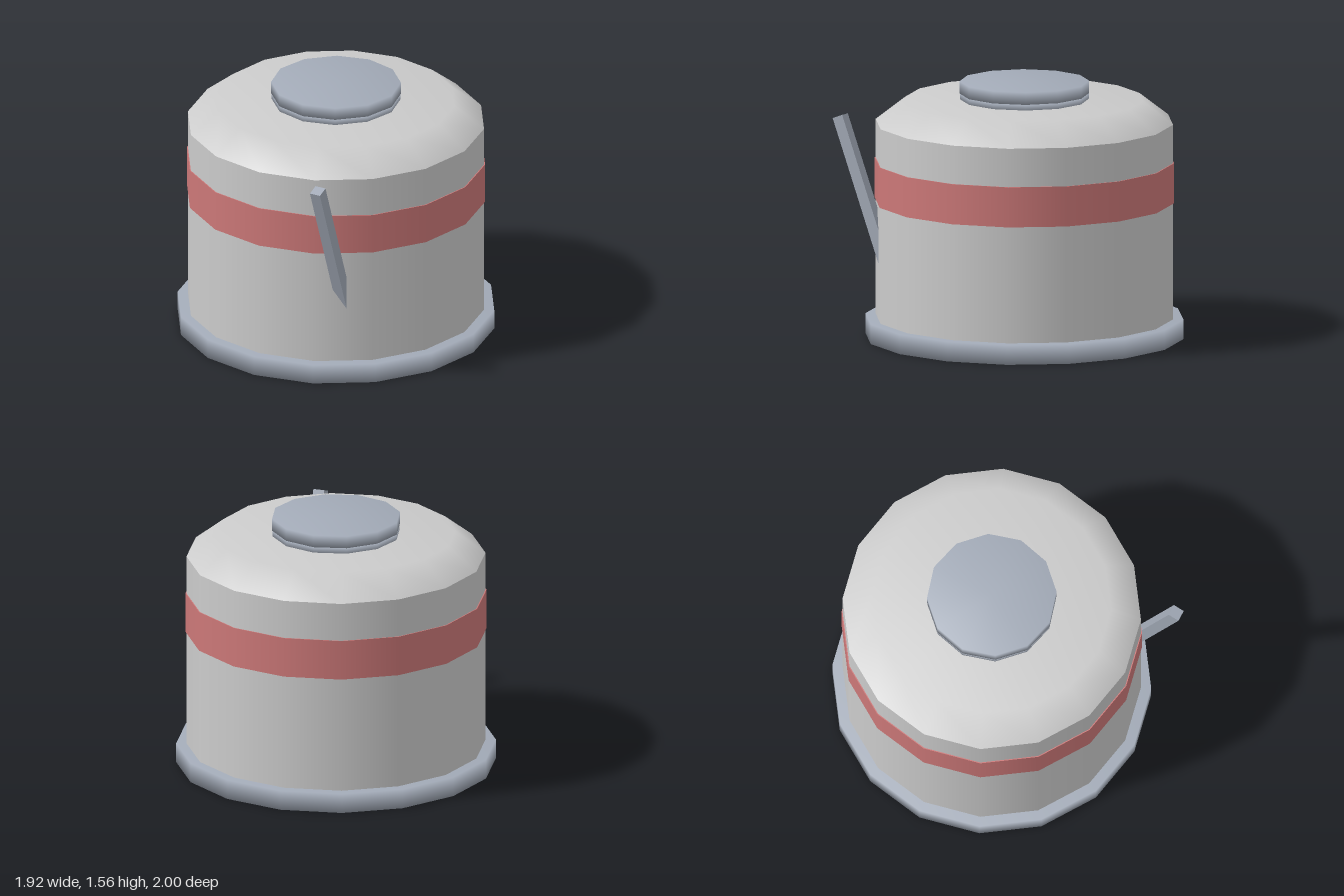
import * as THREE from 'three';

const GREY = 0xcccccc, STEEL = 0xa3abb8, RED = 0xcc7878;
const AXIS_Z = -0.038; // the drum sits slightly back, the lever sticks out in front

function add(parent, name, geometry, color, doubleSided = false) {
  const material = new THREE.MeshStandardMaterial({ color });
  if (doubleSided) material.side = THREE.DoubleSide;
  const mesh = new THREE.Mesh(geometry, material);
  mesh.name = name;
  parent.add(mesh);
  return mesh;
}

// Turned part from [radius, height] pairs, listed from bottom to top
const turned = (profile, sides) =>
  new THREE.LatheGeometry(profile.map(([r, y]) => new THREE.Vector2(r, y)), sides);

// Closed drum with softly shaded rims
const drum = (r, y0, y1, sides) => turned([[0, y0], [r, y0], [r, y1], [0, y1]], sides);

export function createModel() {
  const model = new THREE.Group();
  model.name = 'tank';

  const vessel = new THREE.Group();
  vessel.name = 'vessel';
  vessel.position.z = AXIS_Z;
  model.add(vessel);

  // Foot, wall, sloped roof
  add(vessel, 'base', drum(0.962, 0, 0.12, 16), STEEL);
  add(vessel, 'bodyWall', turned([[0.9, 0.1], [0.9, 1.31]], 16), GREY, true);
  add(vessel, 'roof', turned([[0.9, 1.31], [0.72, 1.45], [0, 1.45]], 16), GREY, true);

  // Painted band, just proud of the wall
  add(vessel, 'band',
    new THREE.CylinderGeometry(0.906, 0.906, 0.245, 16).translate(0, 0.9525, 0), RED);

  // Two-layer lid
  add(vessel, 'lidCollar', drum(0.388, 1.44, 1.485, 12), STEEL);
  add(vessel, 'lid', drum(0.39, 1.485, 1.56, 12), STEEL);

  // Leaning square lever, its lower end buried in the wall
  const length = 1.05;
  const lever = add(model, 'lever',
    new THREE.BoxGeometry(0.07, length, 0.07).translate(0, -length / 2, 0), STEEL);
  lever.position.set(0.471, 1.335, 0.967);
  lever.rotation.x = THREE.MathUtils.degToRad(20);

  return model;
}
